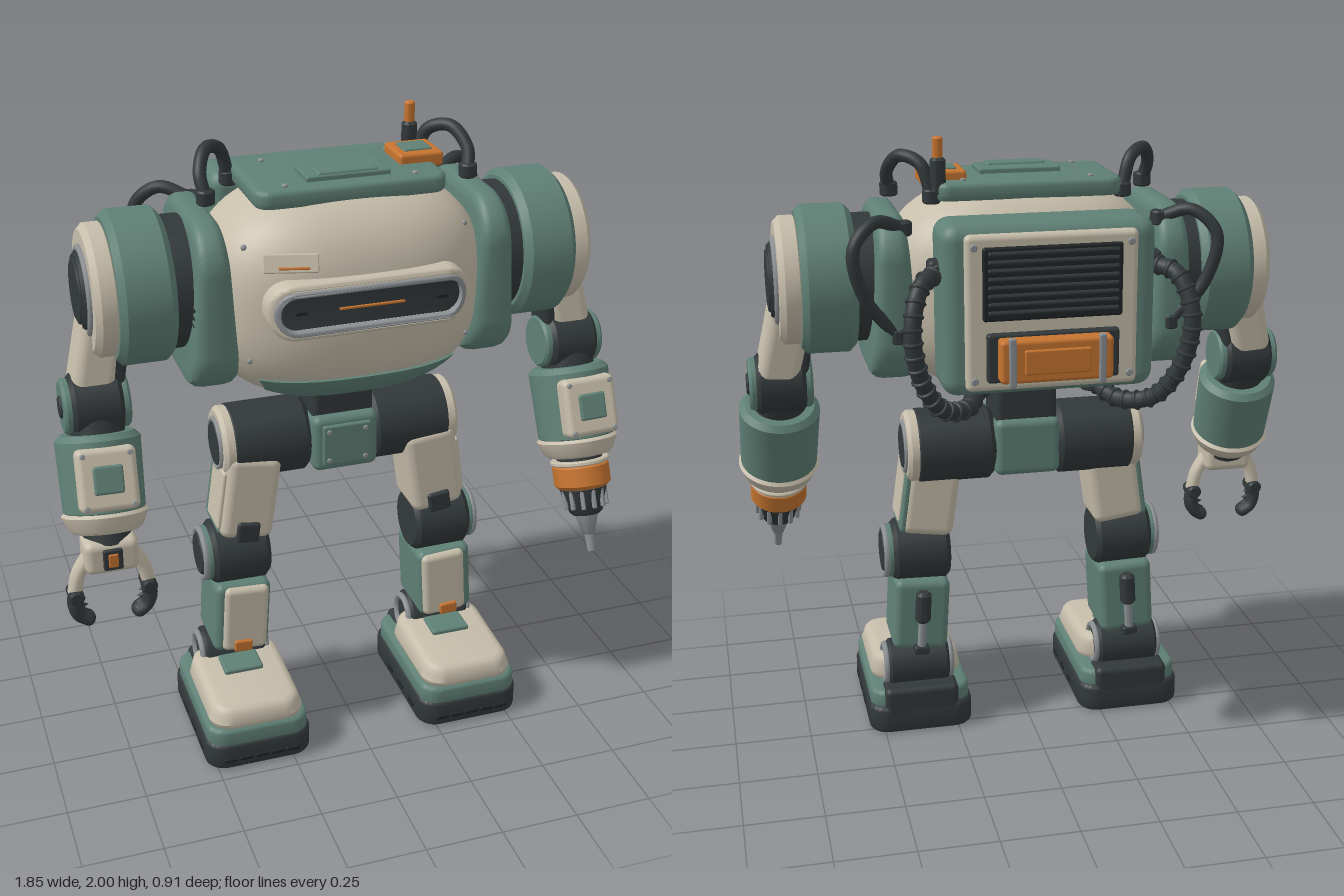
import * as THREE from 'three';
import { toCreasedNormals } from 'three/addons/utils/BufferGeometryUtils.js';
import { RoundedBoxGeometry } from 'three/addons/geometries/RoundedBoxGeometry.js';

const mat = (color) => new THREE.MeshStandardMaterial({ color });
const CREAM = mat(0xc6bdaa), GREEN = mat(0x5f8075), DARK = mat(0x32383a);
const ORANGE = mat(0xc67430), STEEL = mat(0x8b8f92), BLACK = mat(0x1f2425);
const V = (x, y, z) => new THREE.Vector3(x, y, z);

function add(parent, name, geo, material, x = 0, y = 0, z = 0, rx = 0, ry = 0, rz = 0) {
  const m = new THREE.Mesh(geo, material);
  m.name = name;
  m.position.set(x, y, z);
  m.rotation.set(rx, ry, rz);
  parent.add(m);
  return m;
}
function group(parent, name, x = 0, y = 0, z = 0, rx = 0, rz = 0) {
  const g = new THREE.Group();
  g.name = name;
  g.position.set(x, y, z);
  g.rotation.set(rx, 0, rz);
  parent.add(g);
  return g;
}
const box = (w, h, d, r = 0.015) => new RoundedBoxGeometry(w, h, d, 3, r);

// Moves every vertex by a rule and renews the normals
function reshape(geo, rule) {
  const p = geo.attributes.position, v = V(0, 0, 0);
  for (let i = 0; i < p.count; i++) {
    rule(v.fromBufferAttribute(p, i));
    p.setXYZ(i, v.x, v.y, v.z);
  }
  return toCreasedNormals(geo, 0.6);
}

// Bevelled cylinder standing on y; rTop may differ from rBottom
function drum(rBottom, h, rTop = rBottom, b = 0.01) {
  const k = h / 2;
  const pts = [[0, -k], [rBottom - b, -k], [rBottom, -k + b], [rTop, k - b], [rTop - b, k], [0, k]];
  return toCreasedNormals(new THREE.LatheGeometry(pts.map((p) => new THREE.Vector2(...p)), 40), 0.6);
}
const drumX = (r, h, b) => drum(r, h, r, b).rotateZ(Math.PI / 2);
const drumZ = (r, h, b) => drum(r, h, r, b).rotateX(Math.PI / 2);
const ring = (r, t) => new THREE.TorusGeometry(r, t, 8, 40).rotateY(Math.PI / 2);

// Rounded rectangle as a shape or a hole
function roundRect(w, h, r, Type = THREE.Shape) {
  const s = new Type(), x = w / 2 - r, y = h / 2 - r;
  s.absarc(x, y, r, 0, Math.PI / 2);
  s.absarc(-x, y, r, Math.PI / 2, Math.PI);
  s.absarc(-x, -y, r, Math.PI, Math.PI * 1.5);
  s.absarc(x, -y, r, Math.PI * 1.5, Math.PI * 2);
  s.closePath();
  return s;
}
const slab = (shape, depth, bevel) => toCreasedNormals(new THREE.ExtrudeGeometry(shape, {
  depth, bevelEnabled: bevel > 0, bevelSize: bevel, bevelThickness: bevel, bevelOffset: -bevel, bevelSegments: 3, curveSegments: 12,
}), 0.6);
// Lying plate with rounded corners, centred
const plate = (w, h, d, r, b) => slab(roundRect(w, d, r), h - 2 * b, b).translate(0, 0, b - h / 2).rotateX(-Math.PI / 2);

// Superellipsoid hull
const A = 0.44, B = 0.335, C = 0.303, N = 2.6;
const hullZ = (x, y) => C * Math.pow(Math.max(0, 1 - Math.abs(x / A) ** N - Math.abs(y / B) ** N), 1 / N);
function hull() {
  const g = new THREE.SphereGeometry(1, 64, 48), p = g.attributes.position;
  for (let i = 0; i < p.count; i++) {
    const x = p.getX(i), y = p.getY(i), z = p.getZ(i);
    const k = Math.pow(Math.abs(x) ** N + Math.abs(y) ** N + Math.abs(z) ** N, -1 / N);
    p.setXYZ(i, x * k * A, y * k * B, z * k * C);
  }
  g.computeVertexNormals();
  return g;
}

function hose(parent, name, points, r, ribs = 0) {
  const curve = new THREE.CatmullRomCurve3(points);
  const g = group(parent, name);
  add(g, name + 'Tube', new THREE.TubeGeometry(curve, 40, r, 12), DARK);
  for (let i = 1; i < ribs; i++) {
    const p = curve.getPointAt(i / ribs);
    const m = add(g, name + 'Rib', new THREE.TorusGeometry(r * 0.95, r * 0.28, 6, 16), DARK, p.x, p.y, p.z);
    m.lookAt(p.clone().add(curve.getTangentAt(i / ribs)));
  }
  for (const p of [points[0], points[points.length - 1]]) add(g, name + 'Plug', drum(r * 1.4, r * 2.2, r * 1.4, 0.005), DARK, p.x, p.y, p.z);
}

function buildTorso(root) {
  const t = group(root, 'torso', 0, 1.51, 0.11);
  add(t, 'hull', hull(), CREAM);
  // Chin panel bent to the hull
  add(t, 'lowerPanel', reshape(new THREE.BoxGeometry(1, 1, 0.03, 20, 8, 1), (v) => {
    const low = 0.5 - v.y;
    v.x *= 0.62 - 0.1 * low;
    v.y = -0.21 - 0.1 * low * (1 - Math.abs(v.x) ** 2);
    v.z += hullZ(v.x, v.y) - 0.002;
  }), GREEN);

  // Visor with ends swept back
  const sweep = (v) => { v.z -= 2.5 * Math.max(0, Math.abs(v.x) - 0.2) ** 2; };
  const frame = roundRect(0.62, 0.17, 0.08);
  frame.holes.push(roundRect(0.55, 0.105, 0.05, THREE.Path));
  add(t, 'visorFrame', reshape(slab(frame, 0.075, 0.012), sweep), CREAM, 0, 0.04, 0.245);
  const trim = roundRect(0.585, 0.135, 0.066);
  trim.holes.push(roundRect(0.55, 0.105, 0.05, THREE.Path));
  add(t, 'visorTrim', reshape(slab(trim, 0.02, 0.004), sweep), STEEL, 0, 0.04, 0.319);
  add(t, 'visorGlass', reshape(slab(roundRect(0.57, 0.115, 0.055), 0.1, 0), sweep), DARK, 0, 0.04, 0.222);
  add(t, 'visorLight', box(0.2, 0.008, 0.008, 0.003), ORANGE, 0, 0.04, 0.323);
  for (const s of [-1, 1]) add(t, 'visorSensor', box(0.035, 0.012, 0.012, 0.003), BLACK, s * 0.215, 0.04, 0.32);
  add(t, 'namePlate', box(0.16, 0.055, 0.025, 0.004), CREAM, -0.225, 0.17, hullZ(0.225, 0.17), -0.33, -0.26, -0.08);
  add(t, 'plateStripe', box(0.09, 0.008, 0.008, 0.003), ORANGE, -0.22, 0.16, hullZ(0.22, 0.16) + 0.012, -0.33, -0.26, -0.08);
  for (const s of [-1, 1]) for (const y of [-0.14, 0.2]) add(t, 'hullBolt', new THREE.SphereGeometry(0.009, 10, 8), STEEL, s * 0.34, y, hullZ(0.34, y));

  // Roof plate, hatch, beacon, antenna
  const r = group(t, 'roof', 0, 0.33, -0.01);
  add(r, 'roofPlate', plate(0.59, 0.055, 0.35, 0.05, 0.015), GREEN, 0, -0.006, 0);
  add(r, 'roofHatch', box(0.26, 0.025, 0.13, 0.006), GREEN, 0, 0.025, 0.05);
  add(r, 'roofHatchLid', box(0.19, 0.03, 0.06, 0.008), GREEN, 0, 0.03, 0.08);
  add(r, 'beaconBox', box(0.14, 0.045, 0.145, 0.01), ORANGE, 0.255, 0.027, -0.03);
  add(r, 'beaconCap', box(0.09, 0.02, 0.08, 0.006), GREEN, 0.255, 0.046, -0.03);
  add(r, 'antennaBase', drum(0.024, 0.12), DARK, 0.28, 0.04, -0.135);
  add(r, 'antenna', drum(0.016, 0.07, 0.016, 0.005), ORANGE, 0.28, 0.125, -0.135);
  for (const x of [-0.2, 0.2]) for (const z of [-0.12, 0.13]) add(r, 'roofBolt', drum(0.009, 0.012, 0.009, 0.003), STEEL, x, 0.023, z);

  // Side collars (thicker below), shoulder hubs and smooth hoses
  for (const s of [-1, 1]) {
    const c = slab(roundRect(0.5, 0.52, 0.14), 0.05, 0.035).translate(0, 0, -0.025).rotateY(Math.PI / 2);
    add(t, 'sideCollar', reshape(c, (v) => { v.x *= 1 - v.y * 1.1; }), GREEN, s * 0.435, 0.01, -0.03);
    add(t, 'shoulderHub', drumX(0.2, 0.2, 0.02), DARK, s * 0.5, 0.045, -0.025);
    for (let i = 0; i < 3; i++) add(t, 'collarSlot', box(0.02, 0.01, 0.04, 0.004), BLACK, s * 0.488, 0.03 - i * 0.025, 0.17);
    hose(root, 'topHose', [V(s * 0.41, 1.82, 0.13), V(s * 0.418, 1.88, 0.1), V(s * 0.385, 1.935, 0.04), V(s * 0.33, 1.915, -0.01), V(s * 0.3, 1.82, -0.03)], 0.02);
    hose(root, 'rearHose', [V(s * 0.4, 1.74, -0.1), V(s * 0.49, 1.77, -0.15), V(s * 0.56, 1.7, -0.19), V(s * 0.53, 1.55, -0.18), V(s * 0.43, 1.42, -0.15)], 0.02);
  }
}

function buildPack(root) {
  const p = group(root, 'backPack', 0, 1.53, -0.25);
  add(p, 'packBody', box(0.65, 0.52, 0.2, 0.05), GREEN);
  add(p, 'packNeck', box(0.54, 0.42, 0.2, 0.04), DARK, 0, 0, 0.12);
  add(p, 'packPlate', box(0.52, 0.47, 0.04, 0.018), CREAM, 0, 0, -0.105);
  add(p, 'grille', box(0.42, 0.22, 0.02, 0.008), BLACK, 0, 0.09, -0.125);
  for (let i = 0; i < 8; i++) add(p, 'grilleFin', box(0.39, 0.012, 0.03, 0.004), DARK, 0, 0.005 + i * 0.025, -0.135, 0.4);
  add(p, 'batteryMount', box(0.4, 0.15, 0.03, 0.01), DARK, 0, -0.13, -0.13);
  add(p, 'battery', box(0.34, 0.13, 0.06, 0.012), ORANGE, 0, -0.13, -0.165);
  add(p, 'batteryLid', box(0.2, 0.075, 0.016, 0.006), ORANGE, 0, -0.13, -0.196);
  for (const s of [-1, 1]) {
    add(p, 'batteryClamp', box(0.022, 0.15, 0.02, 0.006), STEEL, s * 0.135, -0.13, -0.192);
    for (const y of [-0.2, 0.2]) add(p, 'plateBolt', drumZ(0.011, 0.012, 0.003), STEEL, s * 0.235, y, -0.127);
    add(p, 'hoseSocket', box(0.05, 0.06, 0.06), DARK, s * 0.33, 0.12, -0.02);
    hose(root, 'ribbedHose', [V(s * 0.32, 1.64, -0.27), V(s * 0.385, 1.62, -0.35), V(s * 0.42, 1.51, -0.4), V(s * 0.4, 1.36, -0.39),
      V(s * 0.33, 1.24, -0.34), V(s * 0.24, 1.21, -0.26), V(s * 0.18, 1.24, -0.14)], 0.026, 20);
  }
}

function buildDrill(f) {
  add(f, 'drillCollar', drum(0.093, 0.085, 0.093, 0.012), ORANGE, 0, -0.455, 0);
  add(f, 'drillRim', drum(0.097, 0.016, 0.097, 0.004), CREAM, 0, -0.41, 0);
  add(f, 'drillChuck', drum(0.055, 0.1, 0.078), DARK, 0, -0.54, 0);
  for (let i = 0; i < 12; i++) {
    const a = (i / 12) * Math.PI * 2;
    add(f, 'chuckRib', box(0.014, 0.07, 0.014, 0.004), STEEL, Math.sin(a) * 0.07, -0.53, Math.cos(a) * 0.07, 0, a, 0);
  }
  add(f, 'drillCone', drum(0.02, 0.08, 0.04, 0.005), STEEL, 0, -0.62, 0);
  add(f, 'drillTip', drum(0.012, 0.07, 0.016, 0.003), STEEL, 0, -0.685, 0);
}

function buildGripper(root, x) {
  const g = group(root, 'gripper', x, 0.8, 0.3);
  add(g, 'palm', box(0.165, 0.11, 0.12, 0.025), CREAM);
  add(g, 'palmSocket', box(0.06, 0.07, 0.02, 0.006), DARK, 0, 0, 0.06);
  add(g, 'palmLight', box(0.03, 0.045, 0.012, 0.004), ORANGE, 0, 0, 0.07);
  for (const s of [-1, 1]) {
    const up = new THREE.CatmullRomCurve3([V(s * 0.065, -0.01, 0), V(s * 0.1, -0.07, 0), V(s * 0.115, -0.135, 0)]);
    const low = new THREE.CatmullRomCurve3([V(s * 0.112, -0.14, 0), V(s * 0.116, -0.18, 0), V(s * 0.104, -0.212, 0), V(s * 0.08, -0.23, 0)]);
    add(g, 'fingerUpper', new THREE.TubeGeometry(up, 10, 0.022, 10).scale(1, 1, 1.3), CREAM);
    add(g, 'fingerJoint', drumZ(0.024, 0.075, 0.006), DARK, s * 0.113, -0.138, 0);
    add(g, 'fingerClaw', new THREE.TubeGeometry(low, 12, 0.024, 10).scale(1, 1, 1.4), DARK);
    add(g, 'fingerTip', new THREE.SphereGeometry(0.024, 12, 8).scale(1, 1, 1.4), DARK, s * 0.08, -0.23, 0);
    for (let i = 0; i < 3; i++) add(g, 'clawTooth', new THREE.ConeGeometry(0.009, 0.02, 6), DARK, s * (0.09 - i * 0.006), -0.16 - i * 0.022, 0, 0, 0, s * 1.57);
  }
}

function buildArm(root, s) {
  const a = group(root, s > 0 ? 'leftArm' : 'rightArm', 0, 1.555, 0.085);
  add(a, 'shoulderDrum', drumX(0.232, 0.17, 0.02), GREEN, s * 0.625);
  add(a, 'shoulderCap', drumX(0.2, 0.08, 0.018), CREAM, s * 0.735);
  add(a, 'shoulderRing', ring(0.128, 0.012), STEEL, s * 0.776);
  add(a, 'shoulderDisc', drumX(0.122, 0.05), DARK, s * 0.772);
  add(a, 'shoulderCore', drumX(0.1, 0.02, 0.005), DARK, s * 0.793);
  add(a, 'upperArm', box(0.135, 0.27, 0.15, 0.035), CREAM, s * 0.76, -0.2, 0.02, -0.08, 0, s * 0.22);
  add(a, 'upperArmInner', box(0.1, 0.2, 0.12, 0.02), DARK, s * 0.73, -0.25, 0.03, 0, 0, s * 0.15);
  // Elbow
  add(a, 'elbow', drumX(0.098, 0.16, 0.015), DARK, s * 0.775, -0.342, 0.045);
  for (const k of [-1, 1]) add(a, 'elbowCap', drumX(0.085, 0.03, 0.008), GREEN, s * 0.775 + k * 0.085, -0.342, 0.045);
  add(a, 'elbowPin', drumX(0.035, 0.02, 0.005), DARK, s * 0.872, -0.342, 0.045);
  // Forearm hangs from the elbow and leans forward
  const f = group(a, 'forearm', s * 0.776, -0.342, 0.045, -0.38, s * 0.03);
  add(f, 'forearmNeck', drum(0.085, 0.12), DARK, 0, -0.07, 0);
  add(f, 'forearmShell', drum(0.125, 0.25, 0.13, 0.018), GREEN, 0, -0.215, 0);
  add(f, 'forearmBand', drum(0.115, 0.065, 0.132, 0.012), CREAM, 0, -0.355, 0);
  add(f, 'wrist', drum(0.075, 0.07), DARK, 0, -0.4, 0);
  add(f, 'forearmPanel', box(0.18, 0.19, 0.07, 0.02), CREAM, 0, -0.22, 0.112);
  add(f, 'forearmWindow', box(0.09, 0.085, 0.02, 0.008), GREEN, 0, -0.22, 0.147);
  for (const x of [-1, 1]) for (const y of [-0.3, -0.145]) add(f, 'panelBolt', drumZ(0.008, 0.01, 0.002), STEEL, x * 0.07, y, 0.147);
  if (s > 0) buildDrill(f);
  else buildGripper(root, s * 0.788);
}

function buildLeg(root, s) {
  const l = group(root, s > 0 ? 'leftLeg' : 'rightLeg');
  add(l, 'hip', drumX(0.122, 0.27, 0.02), DARK, s * 0.235, 0.985, 0.075);
  add(l, 'hipCap', drumX(0.118, 0.05, 0.012), CREAM, s * 0.365, 0.985, 0.075);
  add(l, 'hipRing', ring(0.078, 0.01), STEEL, s * 0.39, 0.985, 0.075);
  add(l, 'hipDisc', drumX(0.072, 0.02, 0.005), DARK, s * 0.39, 0.985, 0.075);
  // Thigh
  const t = group(l, 'thigh', s * 0.31, 0.83, 0.105, 0, s * 0.14);
  add(t, 'thighShell', box(0.175, 0.29, 0.19, 0.03), CREAM);
  add(t, 'thighTrim', box(0.02, 0.2, 0.16, 0.008), GREEN, s * 0.082, -0.035, -0.012);
  add(t, 'thighSidePanel', box(0.02, 0.2, 0.13, 0.008), CREAM, s * 0.088, -0.015, 0.01);
  add(t, 'kneeGuard', box(0.075, 0.07, 0.03, 0.01), DARK, 0, -0.115, 0.092);
  // Knee
  add(l, 'knee', drumX(0.106, 0.19, 0.015), DARK, s * 0.345, 0.61, 0.108);
  add(l, 'kneeCap', drumX(0.09, 0.03, 0.008), GREEN, s * 0.445, 0.61, 0.108);
  add(l, 'kneeRing', ring(0.08, 0.011), STEEL, s * 0.46, 0.61, 0.108);
  add(l, 'kneeDisc', drumX(0.07, 0.03, 0.006), DARK, s * 0.458, 0.61, 0.108);
  // Shin with rear piston
  const c = group(l, 'shin', s * 0.354, 0.405, 0.11, 0, s * 0.06);
  add(c, 'shinShell', box(0.185, 0.25, 0.215, 0.025), GREEN);
  add(c, 'shinFront', box(0.15, 0.235, 0.05, 0.02), CREAM, -s * 0.008, 0, 0.095);
  add(c, 'shinTag', box(0.06, 0.04, 0.025, 0.006), ORANGE, 0, -0.095, 0.118);
  add(c, 'piston', drum(0.026, 0.11), DARK, 0, 0.04, -0.122);
  add(c, 'pistonRod', drum(0.014, 0.12, 0.014, 0.004), STEEL, 0, -0.06, -0.122);
  add(c, 'pistonFoot', box(0.05, 0.03, 0.05, 0.008), DARK, 0, -0.115, -0.115);
  // Ankle and foot
  const f = group(l, 'foot', s * 0.365, 0, 0.207);
  add(f, 'ankle', drumX(0.08, 0.21, 0.012), DARK, 0, 0.21, -0.13);
  for (const k of [-1, 1]) add(f, 'ankleRing', ring(0.062, 0.011), STEEL, k * 0.108, 0.21, -0.13);
  add(f, 'sole', plate(0.35, 0.095, 0.5, 0.065, 0.015), DARK, 0, 0.0475, 0);
  add(f, 'footBand', plate(0.335, 0.075, 0.48, 0.06, 0.015), GREEN, 0, 0.11, 0.005);
  const slope = (v) => { if (v.y > 0) v.set(v.x * 0.95, v.y - (v.z + 0.19) * 0.055, v.z * 0.97); };
  add(f, 'toeCap', reshape(plate(0.31, 0.1, 0.38, 0.07, 0.03), slope), CREAM, 0, 0.183, 0.05);
  add(f, 'instep', box(0.13, 0.03, 0.1, 0.008), GREEN, 0, 0.222, 0.0);
  add(f, 'heel', box(0.25, 0.13, 0.1, 0.02), DARK, 0, 0.095, -0.2);
  for (let i = -2; i <= 2; i++) add(f, 'toeGroove', box(0.045, 0.014, 0.012, 0.004), BLACK, i * 0.052, 0.035, 0.248);
  for (const k of [-1, 1]) for (let i = -1; i <= 1; i++) add(f, 'sideGroove', box(0.012, 0.018, 0.045, 0.004), BLACK, k * 0.173, 0.04, i * 0.1 + 0.04);
}

export function createModel() {
  const model = new THREE.Group();
  model.name = 'robot';
  // The gripper reaches further out than the drill, so the body sits slightly off centre
  const root = group(model, 'body', 0.008);
  buildTorso(root);
  buildPack(root);
  // Pelvis
  add(root, 'waist', box(0.2, 0.2, 0.2, 0.02), DARK, 0, 1.13, 0.08);
  add(root, 'pelvis', box(0.215, 0.19, 0.25, 0.025), GREEN, 0, 0.99, 0.085);
  add(root, 'pelvisPlate', box(0.16, 0.14, 0.02, 0.008), GREEN, 0, 0.99, 0.21);
  for (const x of [-1, 1]) for (const y of [0.94, 1.04]) add(root, 'pelvisBolt', drumZ(0.008, 0.01, 0.002), STEEL, x * 0.06, y, 0.221);
  for (const s of [-1, 1]) {
    buildArm(root, s);
    buildLeg(root, s);
  }
  return model;
}
